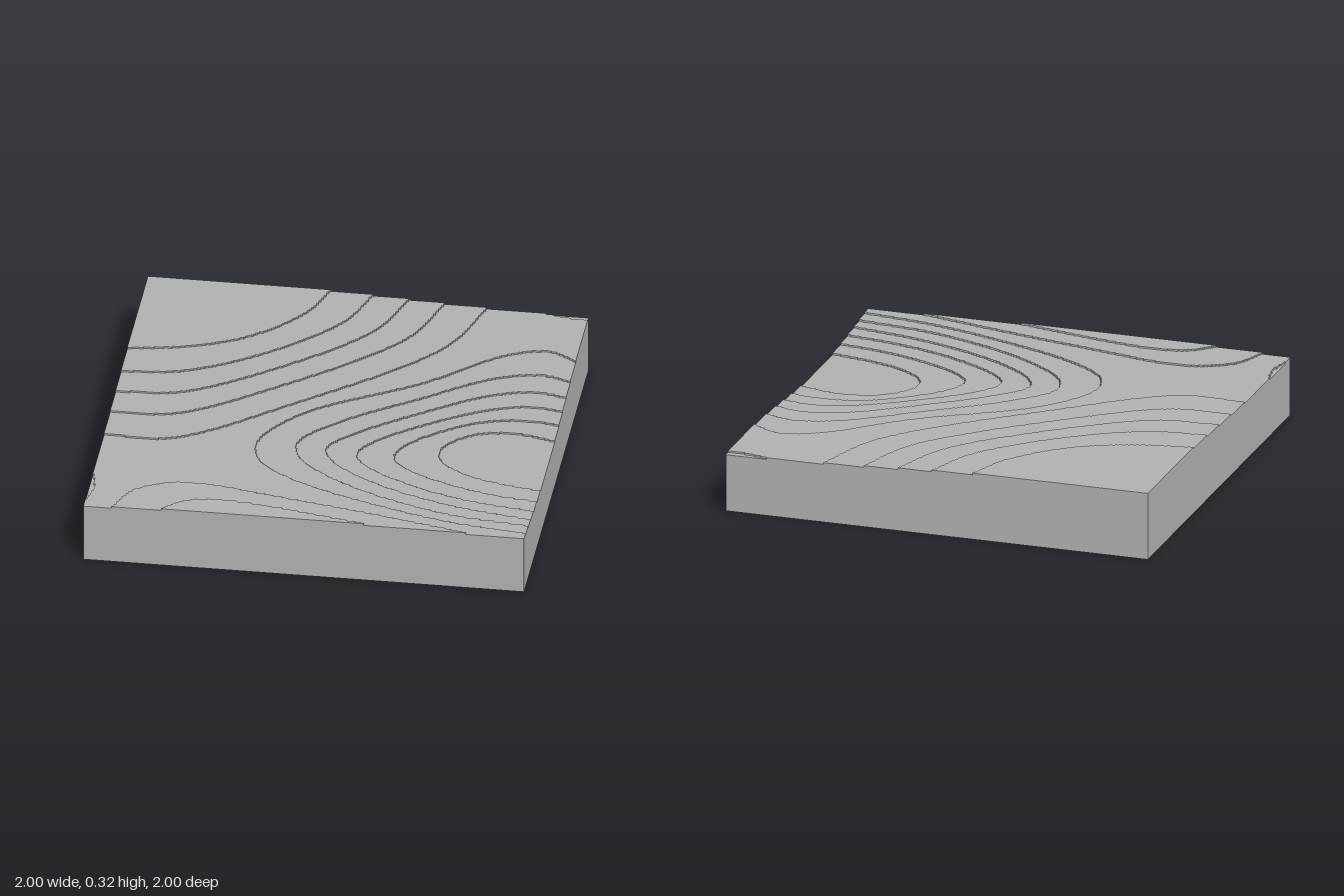
import * as THREE from 'three';

const N = 250;          // cells per side
const CELL = 2 / N;     // cell size, also the terrace height
const FLOOR = 0.228;    // height of the lowest terrace
const FLOOR_LEVEL = 29;
const PLAIN_LEVEL = 35;

// Contour lines as [x, z] points; each region is closed by a straight line or by the extra corner points.
const basins = [
  [[1, -.6], [.87, -.67], [.685, -.61], [.35, -.31], [-.14, .03], [-.31, .31], [-.27, .49], [-.08, .64], [.25, .78], [.65, .9], [1, .95]],
  [[1, -.43], [.87, -.47], [.66, -.41], [.35, -.18], [.04, .06], [-.13, .27], [-.1, .42], [.136, .62], [.59, .81], [1, .87]],
  [[1, -.3], [.86, -.33], [.66, -.27], [.36, -.06], [.12, .14], [0, .3], [.06, .43], [.3, .6], [.64, .73], [1, .8]],
  [[1, -.19], [.85, -.21], [.66, -.15], [.4, .02], [.2, .2], [.14, .32], [.2, .42], [.42, .56], [.7, .66], [1, .71]],
  [[1, -.08], [.85, -.1], [.66, -.06], [.45, .08], [.33, .22], [.31, .32], [.4, .42], [.6, .52], [.8, .58], [1, .61]],
  [[1, .05], [.83, .01], [.64, .04], [.51, .18], [.52, .3], [.64, .4], [.8, .46], [1, .5]],
];
const ridges = [
  [[-.87, 1], [-.8, .84], [-.64, .745], [-.45, .74], [-.25, .78], [.28, .89], [.75, 1]],
  [[-.65, 1], [-.55, .91], [-.405, .88], [-.15, .91], [.29, 1]],
];
const edgeDips = [
  [[-1, .69], [-.978, .82], [-1, .96]],
  [[.79, -1], [.9, -.975], [1, -.965]],
];
const hillTop = [[-1, -.36], [-.75, -.41], [-.49, -.53], [-.255, -.78], [-.17, -1]];
const hillFoot = [[-1, .36], [-.7, .35], [-.2, -.03], [.4, -.62], [.54, -1]];
const hillSteps = [0, .27, .5, .73, 1];

// Smooth closed region through the points of one contour
function region(points, corners = []) {
  const curve = new THREE.CatmullRomCurve3(points.map(([x, z]) => new THREE.Vector3(x, 0, z)), false, 'centripetal');
  return [...curve.getPoints(60).map(p => [p.x, p.z]), ...corners];
}

function inside(poly, x, z) {
  let hit = false;
  for (let i = 0, j = poly.length - 1; i < poly.length; j = i++) {
    const [ax, az] = poly[i], [bx, bz] = poly[j];
    if ((az > z) !== (bz > z) && x < (bx - ax) * (z - az) / (bz - az) + ax) hit = !hit;
  }
  return hit;
}

// Terrace height of every cell
function terraceHeights() {
  const lower = [
    ...basins.map(b => region(b)),
    region(edgeDips[0]),
    region(edgeDips[1], [[1, -1]]),
  ];
  const upper = [
    ...ridges.map(r => region(r)),
    ...hillSteps.map(t => region(
      hillTop.map(([x, z], i) => [x + (hillFoot[i][0] - x) * t, z + (hillFoot[i][1] - z) * t]),
      [[-1, -1]])),
  ];
  const heights = new Float32Array(N * N);
  for (let j = 0; j < N; j++) {
    for (let i = 0; i < N; i++) {
      const x = -1 + (i + .5) * CELL, z = -1 + (j + .5) * CELL;
      let level = PLAIN_LEVEL;
      for (const p of lower) if (inside(p, x, z)) level--;
      for (const p of upper) if (inside(p, x, z)) level++;
      heights[j * N + i] = FLOOR + (level - FLOOR_LEVEL) * CELL;
    }
  }
  return heights;
}

// Calls emit(start, end) for each stretch of cells sharing the same key
function runs(key, emit) {
  let start = 0;
  for (let k = 1; k <= N; k++) {
    if (k === N || key(k) !== key(start)) {
      emit(start, k);
      start = k;
    }
  }
}

function quadMesh(name, material, fill) {
  const positions = [], index = [];
  fill((...corners) => {
    const n = positions.length / 3;
    for (const c of corners) positions.push(...c);
    index.push(n, n + 1, n + 2, n, n + 2, n + 3);
  });
  const geometry = new THREE.BufferGeometry();
  geometry.setAttribute('position', new THREE.Float32BufferAttribute(positions, 3));
  geometry.setIndex(index);
  geometry.computeVertexNormals();
  const mesh = new THREE.Mesh(geometry, material);
  mesh.name = name;
  return mesh;
}

export function createModel() {
  const stone = new THREE.MeshStandardMaterial({ color: 0xb0b0b0 });
  stone.name = 'stone grey';
  const heights = terraceHeights();
  const H = (i, j) => (i < 0 || j < 0 || i >= N || j >= N ? 0 : heights[j * N + i]);
  const at = k => -1 + k * CELL;

  // Flat terrace tops, one strip per run of equal height
  const tops = quadMesh('terraceTops', stone, quad => {
    for (let j = 0; j < N; j++) {
      const z0 = at(j), z1 = at(j + 1);
      runs(i => H(i, j), (s, e) => {
        const y = H(s, j), x0 = at(s), x1 = at(e);
        quad([x0, y, z0], [x0, y, z1], [x1, y, z1], [x1, y, z0]);
      });
    }
  });

  // Step risers and the outer walls, wherever neighbouring heights differ
  const risers = quadMesh('risersAndWalls', stone, quad => {
    for (let p = 0; p <= N; p++) {
      const c = at(p);
      runs(i => H(i, p - 1) + ',' + H(i, p), (s, e) => {
        const a = H(s, p - 1), b = H(s, p), x0 = at(s), x1 = at(e);
        if (a !== b) quad([x0, b, c], [x1, b, c], [x1, a, c], [x0, a, c]);
      });
      runs(j => H(p - 1, j) + ',' + H(p, j), (s, e) => {
        const a = H(p - 1, s), b = H(p, s), z0 = at(s), z1 = at(e);
        if (a !== b) quad([c, b, z0], [c, a, z0], [c, a, z1], [c, b, z1]);
      });
    }
  });

  // Flat underside
  const underside = quadMesh('underside', stone, quad =>
    quad([-1, 0, -1], [1, 0, -1], [1, 0, 1], [-1, 0, 1]));

  const group = new THREE.Group();
  group.name = 'terracedTerrainBlock';
  group.add(tops, risers, underside);
  return group;
}
